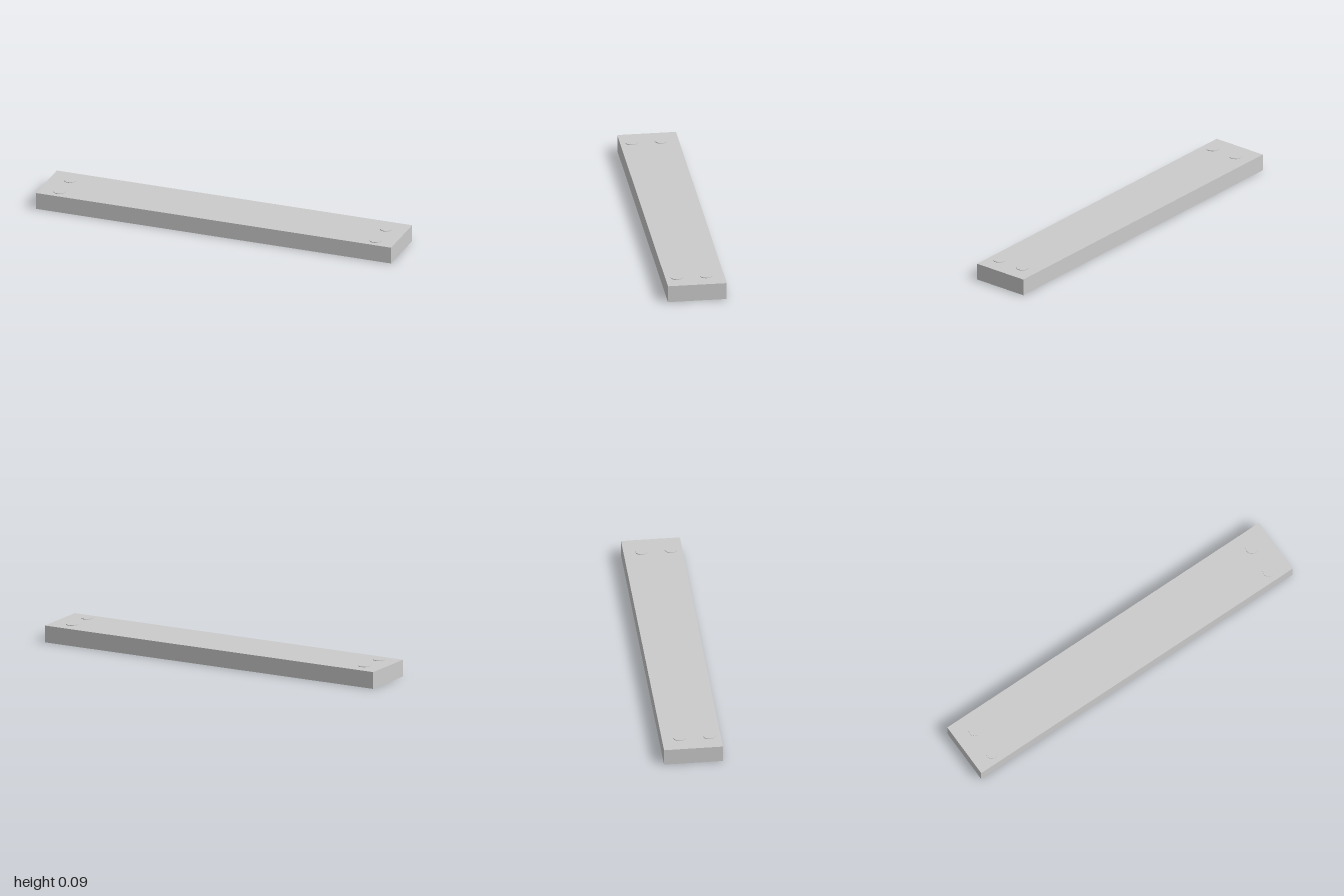
import * as THREE from 'three';

export function createModel() {
  const group = new THREE.Group();
  const material = new THREE.MeshStandardMaterial({ color: 0xcccccc });
  const height = 0.091, discHeight = 0.008, topY = 0.0945;

  // Long flat board
  const board = new THREE.Mesh(new THREE.BoxGeometry(2, height, 0.312), material);
  board.name = 'board';
  board.position.y = height / 2;
  group.add(board);

  // A pair of screw heads near each end, sunk slightly into the board
  const discGeometry = new THREE.CylinderGeometry(0.033, 0.033, discHeight, 32);
  for (const x of [-0.89, 0.89]) {
    for (const z of [-0.061, 0.095]) {
      const disc = new THREE.Mesh(discGeometry, material);
      disc.name = `${x > 0 ? 'left' : 'right'}${z > 0 ? 'Front' : 'Back'}ScrewHead`;
      disc.position.set(x, topY - discHeight / 2, z);
      group.add(disc);
    }
  }
  return group;
}
